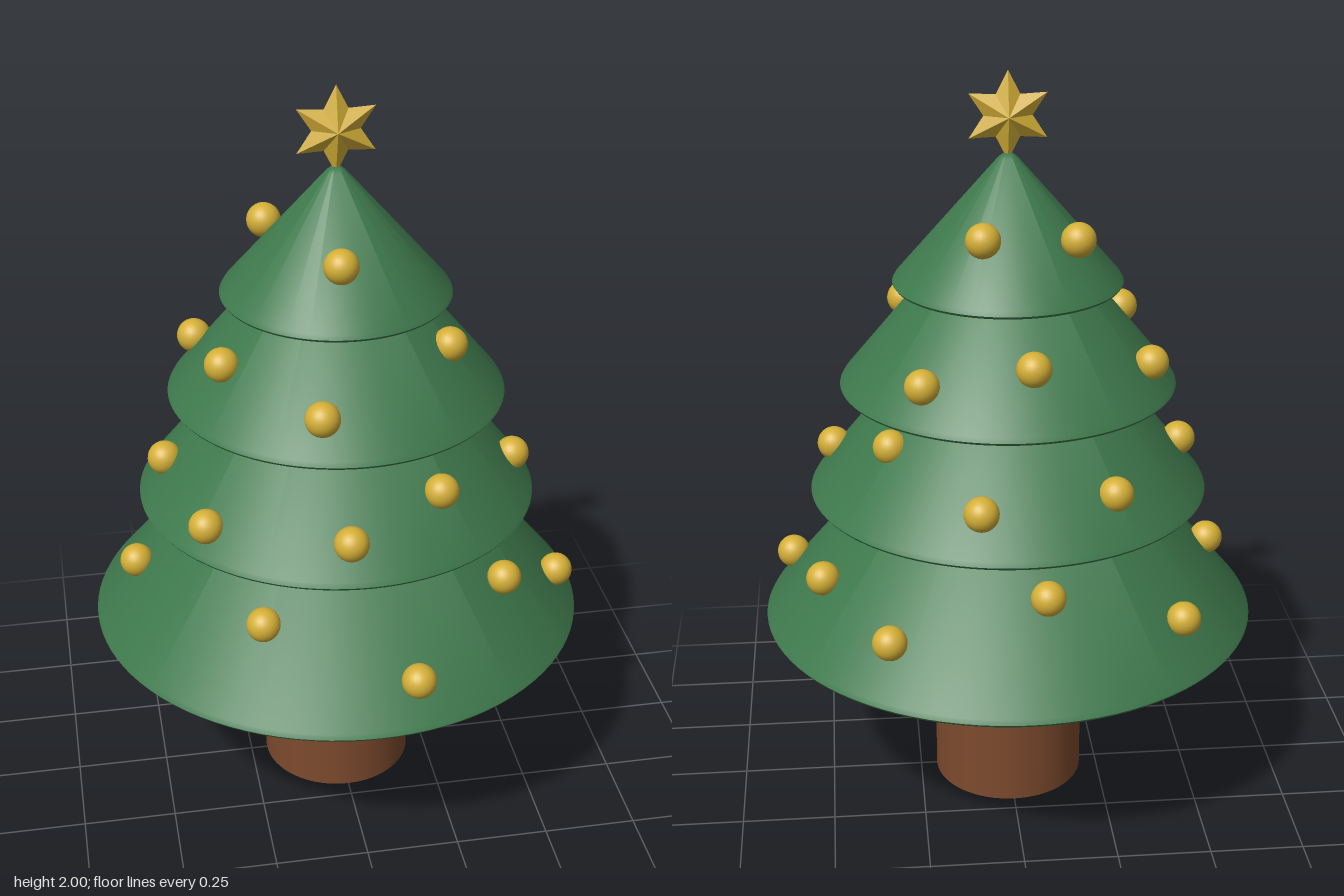
import * as THREE from 'three';
import { toCreasedNormals } from 'three/addons/utils/BufferGeometryUtils.js';

const material = (color, extra = {}) => new THREE.MeshStandardMaterial({ color, ...extra });

function addMesh(parent, name, geometry, mat) {
  const mesh = new THREE.Mesh(geometry, mat);
  mesh.name = name;
  parent.add(mesh);
  return mesh;
}

// Cone of branches with a flat underside, a thin rounded rim and a blunt tip
function tierGeometry(radius, bottom, top, tip) {
  const profile = [
    [0, bottom], [radius - 0.02, bottom], [radius - 0.005, bottom + 0.004],
    [radius, bottom + 0.011], [radius - 0.006, bottom + 0.022],
    [tip, top - tip * 0.45], [tip * 0.55, top - tip * 0.1], [0, top],
  ].map(([r, y]) => new THREE.Vector2(r, y));
  return toCreasedNormals(new THREE.LatheGeometry(profile, 96), 0.9);
}

// Six-pointed star, ridged on both faces
function starGeometry(outer, inner, depth) {
  const positions = [];
  const rim = (i) => {
    const r = i % 2 ? inner : outer;
    const a = Math.PI / 2 + (i * Math.PI) / 6;
    return [r * Math.cos(a), r * Math.sin(a), 0];
  };
  for (let i = 0; i < 12; i++) {
    positions.push(0, 0, depth, ...rim(i), ...rim(i + 1));
    positions.push(0, 0, -depth, ...rim(i + 1), ...rim(i));
  }
  const geometry = new THREE.BufferGeometry();
  geometry.setAttribute('position', new THREE.Float32BufferAttribute(positions, 3));
  geometry.computeVertexNormals();
  return geometry;
}

export function createModel() {
  const tree = new THREE.Group();
  tree.name = 'christmasTree';
  const green = material(0x3f7a4d);
  const brown = material(0x7d4a2d);
  const gold = material(0xd4af37);

  // Trunk
  const trunk = addMesh(tree, 'trunk', new THREE.CylinderGeometry(0.205, 0.205, 0.53, 64), brown);
  trunk.position.y = 0.265;

  // Branch tiers: rim radius, underside height, apex height, tip radius
  const tiers = [
    [0.665, 0.51, 1.31, 0.02],
    [0.53, 0.875, 1.54, 0.02],
    [0.443, 1.17, 1.71, 0.02],
    [0.3, 1.445, 1.79, 0.025],
  ];
  tiers.forEach((t, i) => addMesh(tree, `branchTier${i + 1}`, tierGeometry(...t), green));

  // Baubles by tier, each centred on the branch surface
  const baubles = [
    [
      [0.59, 0.625, 0.145], [0.39, 0.745, 0.335], [0.11, 0.63, 0.59],
      [-0.26, 0.73, 0.42], [-0.55, 0.69, 0.0], [-0.42, 0.655, -0.4],
      [-0.06, 0.77, -0.475], [0.34, 0.66, -0.47], [0.505, 0.705, -0.187],
    ],
    [
      [0.465, 0.975, 0.087], [0.207, 1.045, 0.365], [-0.043, 0.98, 0.47],
      [-0.386, 0.962, 0.297], [-0.46, 0.997, -0.01], [-0.24, 1.005, -0.375],
      [0.105, 0.997, -0.447], [0.32, 1.08, -0.2],
    ],
    [
      [0.265, 1.357, 0.167], [-0.097, 1.28, 0.365], [-0.315, 1.33, 0.13],
      [-0.355, 1.275, -0.163], [-0.035, 1.33, -0.333], [0.24, 1.28, -0.298],
    ],
    [[-0.02, 1.603, 0.19], [-0.165, 1.6, -0.143], [0.077, 1.612, -0.17]],
  ];
  const ball = new THREE.SphereGeometry(0.045, 24, 16);
  baubles.forEach((row, i) => {
    const group = new THREE.Group();
    group.name = `baublesTier${i + 1}`;
    row.forEach((p) => addMesh(group, 'bauble', ball, gold).position.set(...p));
    tree.add(group);
  });

  // Star on top
  const star = addMesh(tree, 'star', starGeometry(0.115, 0.062, 0.033),
    material(0xd4af37, { flatShading: true }));
  star.position.y = 1.885;

  return tree;
}
